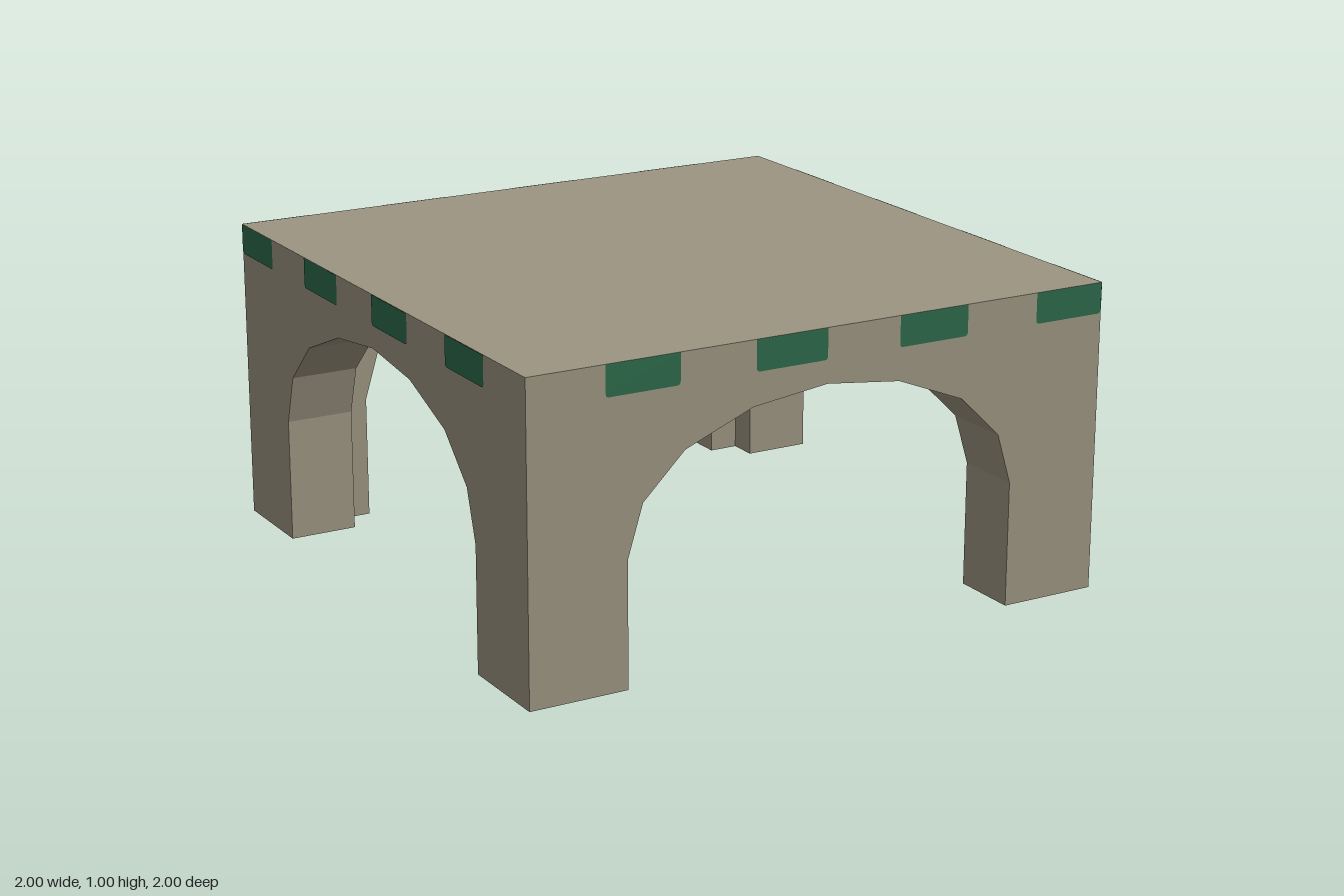
import * as THREE from 'three';

const WALL = 0.225;      // wall thickness
const CEILING = 0.875;   // underside of the deck
const INNER = 1 - WALL;

// Half of the arch opening, from the right foot to the crown
const half = [[0.675, 0], [0.675, 0.405], [0.625, 0.568], [0.485, 0.705], [0.255, 0.797], [0, 0.828]];
const arch = [...half, ...half.slice(0, -1).reverse().map(([x, y]) => [-x, y])];

// Flat wall face with the arch cut out of its lower edge
function wallFace(halfWidth, height) {
  const outline = [[halfWidth, 0], [halfWidth, height], [-halfWidth, height], [-halfWidth, 0]];
  const points = [...outline, ...[...arch].reverse()];
  return new THREE.ShapeGeometry(new THREE.Shape(points.map(([x, y]) => new THREE.Vector2(x, y))));
}

// Faceted strip lining the arch between outer and inner faces
function archLining() {
  const pos = [];
  for (let i = 0; i < arch.length - 1; i++) {
    const [x0, y0] = arch[i], [x1, y1] = arch[i + 1];
    const a = [x0, y0, 1], b = [x1, y1, 1], c = [x1, y1, INNER], d = [x0, y0, INNER];
    pos.push(...a, ...b, ...c, ...a, ...c, ...d);
  }
  const g = new THREE.BufferGeometry();
  g.setAttribute('position', new THREE.Float32BufferAttribute(pos, 3));
  g.computeVertexNormals();
  return g;
}

// Hanging tab with slightly rounded lower corners
function tabShape(w, h, r) {
  const s = new THREE.Shape();
  s.moveTo(0, h);
  s.lineTo(0, r);
  s.quadraticCurveTo(0, 0, r, 0);
  s.lineTo(w - r, 0);
  s.quadraticCurveTo(w, 0, w, r);
  s.lineTo(w, h);
  s.closePath();
  return new THREE.ShapeGeometry(s, 3);
}

export function createModel() {
  const stone = new THREE.MeshStandardMaterial({ color: 0x9d9582, side: THREE.DoubleSide });
  stone.name = 'stone';
  const green = new THREE.MeshStandardMaterial({ color: 0x2d6b4b, side: THREE.DoubleSide });
  green.name = 'green';

  const model = new THREE.Group();
  model.name = 'archedPavilion';
  const add = (parent, name, geometry, material) => {
    const mesh = new THREE.Mesh(geometry, material);
    mesh.name = name;
    parent.add(mesh);
    return mesh;
  };

  const outer = wallFace(1, 1);
  const inner = wallFace(INNER, CEILING).rotateY(Math.PI);
  const lining = archLining();
  const tab = tabShape(0.245, 0.098, 0.012);

  // Four arched walls; the legs are hollow and open underneath
  ['front', 'left', 'back', 'right'].forEach((side, i) => {
    const wall = new THREE.Group();
    wall.name = side + 'Wall';
    wall.rotation.y = i * Math.PI / 2;
    add(wall, 'outerFace', outer, stone);
    wall.children[0].position.z = 1;
    add(wall, 'innerFace', inner, stone).position.z = INNER;
    add(wall, 'archLining', lining, stone);
    // Tabs alternate, and meet at two opposite corners
    for (let k = 0; k < 4; k++) {
      const x = i % 2 === 0 ? -0.747 + k * 0.5 : -0.998 + k * 0.5;
      add(wall, 'trimTab', tab, green).position.set(x, 0.902, 1.002);
    }
    model.add(wall);
  });

  // Deck: flat top and ceiling
  add(model, 'deckTop', new THREE.PlaneGeometry(2, 2).rotateX(-Math.PI / 2), stone).position.y = 1;
  add(model, 'ceiling', new THREE.PlaneGeometry(2 * INNER, 2 * INNER).rotateX(Math.PI / 2), stone).position.y = CEILING;

  return model;
}
